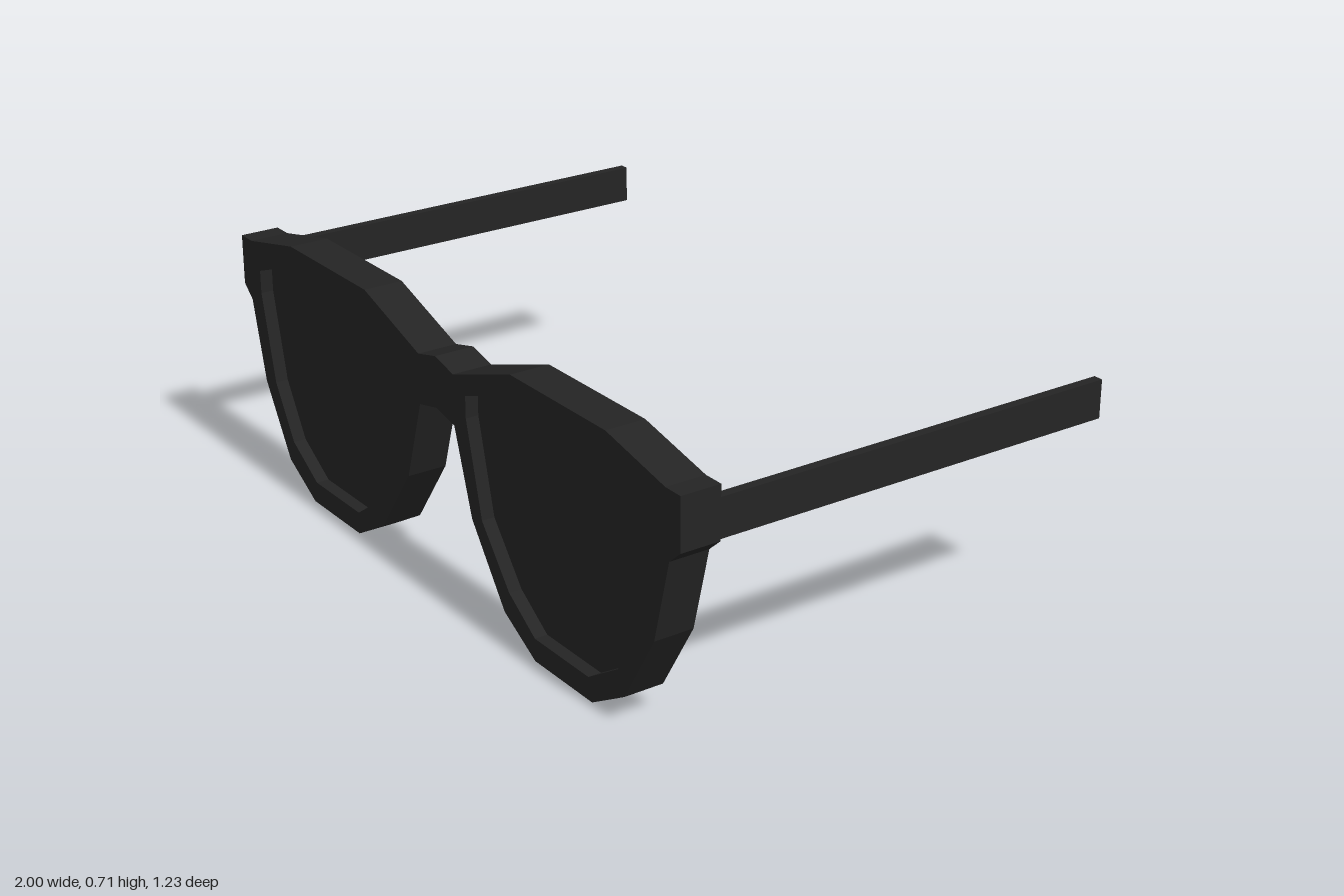
import * as THREE from 'three';

const BACK = 0.51, FRONT = 0.617;

// Half outlines on the +x side
const topEdge = [[0, 0.64], [0.08, 0.62], [0.335, 0.706], [0.72, 0.706], [0.945, 0.656], [1, 0.656]];
const lowerEdge = [[1, 0.52], [0.96, 0.485], [0.905, 0.267], [0.79, 0.075], [0.66, 0],
  [0.42, 0], [0.288, 0.075], [0.15, 0.267], [0.08, 0.487], [0, 0.505]];
const lensEdge = [[0.134, 0.583], [0.335, 0.652], [0.715, 0.652], [0.905, 0.583], [0.905, 0.52],
  [0.85, 0.28], [0.765, 0.135], [0.645, 0.06], [0.42, 0.06], [0.31, 0.135], [0.195, 0.28], [0.134, 0.525]];

const points = (list, side = 1) => list.map(([x, y]) => new THREE.Vector2(x * side, y));

function slab(shape, back, front) {
  return new THREE.ExtrudeGeometry(shape, { depth: front - back, bevelEnabled: false }).translate(0, 0, back);
}

export function createModel() {
  const group = new THREE.Group();
  group.name = 'glasses';
  const plastic = new THREE.MeshStandardMaterial({ color: 0x242424, flatShading: true });

  const add = (name, geometry) => {
    const mesh = new THREE.Mesh(geometry, plastic);
    mesh.name = name;
    group.add(mesh);
  };

  // Front frame: mirrored counter-clockwise outline with two lens openings
  const half = [...topEdge, ...lowerEdge];
  const mirrored = half.slice(1, -1).reverse();
  const frame = new THREE.Shape([...points(half, -1), ...points(mirrored)]);
  for (const side of [1, -1]) frame.holes.push(new THREE.Path(points(lensEdge, side)));
  add('frame', slab(frame, BACK, FRONT));

  for (const [side, label] of [[1, 'left'], [-1, 'right']]) {
    // Lens, set in from both faces of the frame
    add(label + 'Lens', slab(new THREE.Shape(points(lensEdge, side)), 0.545, 0.582));

    // Straight temple arm
    const length = BACK + 0.617;
    const arm = new THREE.BoxGeometry(0.025, 0.1, length);
    arm.translate(side * 0.981, 0.571, BACK - length / 2);
    add(label + 'Temple', arm);
  }
  return group;
}
